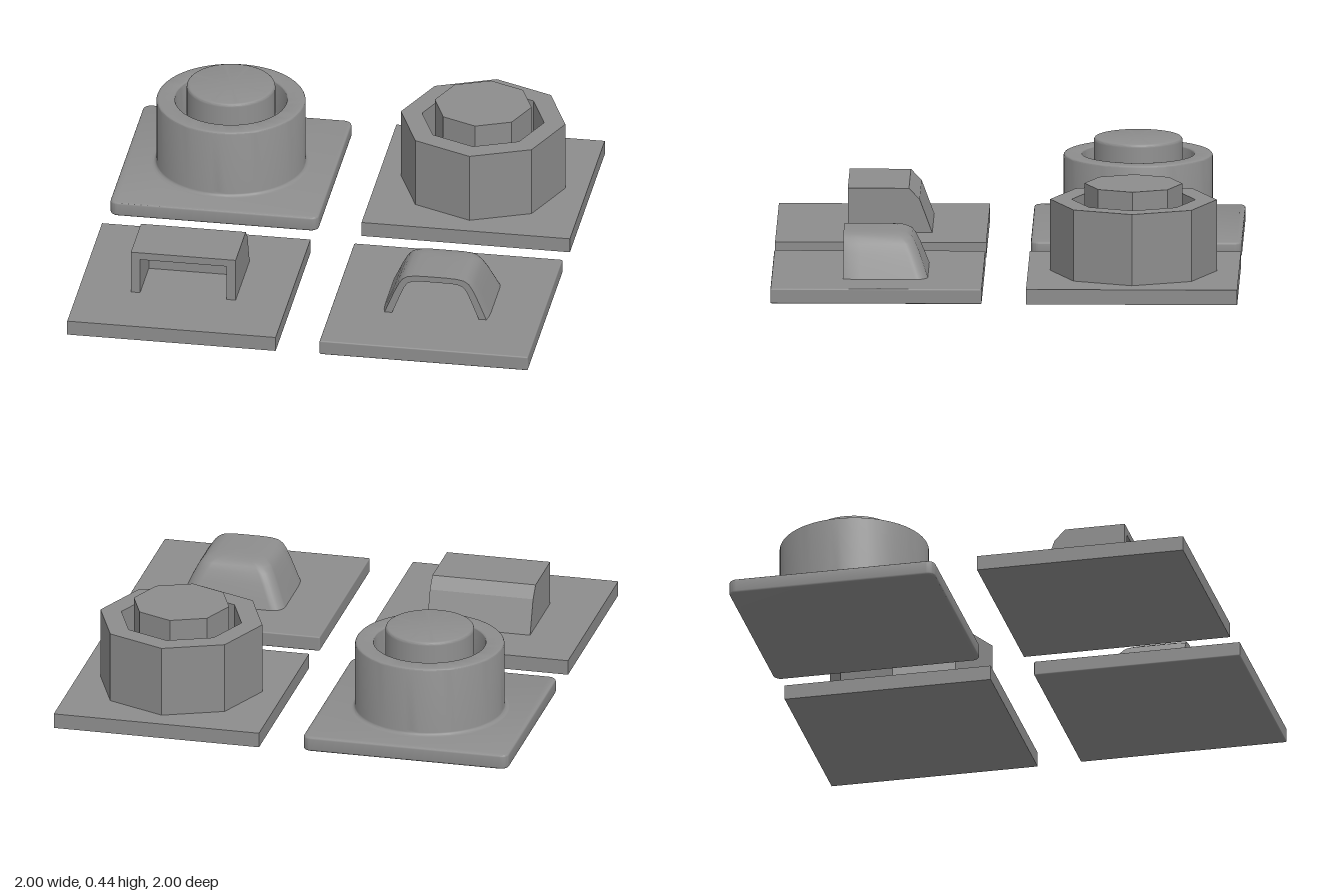
import * as THREE from 'three';
import { toCreasedNormals } from 'three/addons/utils/BufferGeometryUtils.js';
import { RoundedBoxGeometry } from 'three/addons/geometries/RoundedBoxGeometry.js';

const SIZE = 0.905, BASE = 0.065, C = 0.5475, FRONT = 0.145, LIP = 0.96, GREY = 0x8d8d8d;
const smooth = new THREE.MeshStandardMaterial({ color: GREY });
const flat = new THREE.MeshStandardMaterial({ color: GREY, flatShading: true });
const thin = new THREE.MeshStandardMaterial({ color: GREY, side: THREE.DoubleSide });

function add(parent, name, geometry, material, x = 0, y = 0, z = 0) {
  const mesh = new THREE.Mesh(geometry, material);
  mesh.name = name;
  mesh.position.set(x, y, z);
  parent.add(mesh);
}

function tile(root, name, x, z) {
  const g = new THREE.Group();
  g.name = name;
  g.position.set(x, 0, z);
  root.add(g);
  return g;
}

// Polyline with every inner corner rounded by its own radius: [x, y, r]
function roundedPath(pts) {
  const out = [new THREE.Vector2(pts[0][0], pts[0][1])];
  for (let i = 1; i < pts.length - 1; i++) {
    const p = new THREE.Vector2(pts[i][0], pts[i][1]);
    const toward = (q) => new THREE.Vector2(q[0], q[1]).sub(p).setLength(pts[i][2]).add(p);
    const curve = new THREE.QuadraticBezierCurve(toward(pts[i - 1]), p, toward(pts[i + 1]));
    out.push(...curve.getPoints(5));
  }
  const last = pts[pts.length - 1];
  out.push(new THREE.Vector2(last[0], last[1]));
  return out;
}

// Square slab with rounded corners and softly bevelled edges
function softSlab() {
  const bevel = 0.01, r = 0.025, k = SIZE / 2 - bevel - r;
  const shape = new THREE.Shape();
  for (let i = 0; i < 4; i++) {
    const a = (i * Math.PI) / 2, mid = a + Math.PI / 4;
    shape.absarc(k * Math.SQRT2 * Math.cos(mid), k * Math.SQRT2 * Math.sin(mid), r, a, a + Math.PI / 2);
  }
  shape.closePath();
  const g = new THREE.ExtrudeGeometry(shape, {
    depth: BASE - 2 * bevel, bevelSize: bevel, bevelThickness: bevel, bevelSegments: 4, curveSegments: 6,
  });
  g.rotateX(-Math.PI / 2).translate(0, bevel + 0.003, 0);
  return toCreasedNormals(g, 0.6);
}

// Smooth hood shell: U-shaped rows stacked upward, open at the front
function hoodShell(profile, inward) {
  const pos = [], idx = [], r = 0.055;
  let n = 0;
  for (const [w, y, b] of profile) {
    const k = Math.min(r, w);
    const row = [[w * LIP, FRONT], [w * 0.985, FRONT - 0.025], [w, FRONT - 0.07], [w, b + k]];
    for (let a = 1; a <= 6; a++) {
      const t = (a / 6) * Math.PI / 2;
      row.push([w - k + k * Math.cos(t), b + k - k * Math.sin(t)]);
    }
    const mirrored = row.slice().reverse().map(([x, z]) => [-x, z]);
    const all = row.concat(mirrored);
    n = all.length;
    for (const [x, z] of all) pos.push(x, y, z);
  }
  for (let i = 0; i < profile.length - 1; i++) {
    for (let j = 0; j < n - 1; j++) {
      const a = i * n + j, b = a + 1, c = a + n, d = c + 1;
      if (inward) idx.push(a, c, b, b, c, d);
      else idx.push(a, b, c, b, d, c);
    }
  }
  const g = new THREE.BufferGeometry();
  g.setAttribute('position', new THREE.Float32BufferAttribute(pos, 3));
  g.setIndex(idx);
  g.computeVertexNormals();
  return g;
}

export function createModel() {
  const root = new THREE.Group();
  root.name = 'ventAndHoodTiles';

  // Smooth round vent
  const round = tile(root, 'roundVentTile', -C, -C);
  add(round, 'roundedBase', softSlab(), smooth);
  const vent = roundedPath([
    [0.34, BASE + 0.003, 0], [0.32, BASE + 0.004, 0.019], [0.32, 0.375, 0.014], [0.24, 0.375, 0.01],
    [0.24, 0.22, 0.01], [0.19, 0.22, 0.01], [0.19, 0.445, 0.016], [0, 0.445, 0],
  ]);
  add(round, 'roundVent', toCreasedNormals(new THREE.LatheGeometry(vent, 64), 0.5), smooth);

  // Faceted octagonal vent
  const octagon = tile(root, 'octagonVentTile', C, -C);
  add(octagon, 'squareBase', new THREE.BoxGeometry(SIZE, BASE, SIZE), flat, 0, BASE / 2, 0);
  const steps = [
    [0.357, BASE], [0.357, 0.375], [0.265, 0.375], [0.265, 0.22],
    [0.21, 0.22], [0.21, 0.445], [0, 0.445],
  ].map(([x, y]) => new THREE.Vector2(x, y));
  add(octagon, 'octagonVent', new THREE.LatheGeometry(steps, 8), flat);

  // Faceted hood: solid sloping back, two cheeks and a roof
  const box = tile(root, 'boxHoodTile', -C, C);
  add(box, 'squareBase', new THREE.BoxGeometry(SIZE, BASE, SIZE), flat, 0, BASE / 2, 0);
  const hood = new THREE.Group();
  hood.name = 'boxHood';
  box.add(hood);
  const W = 0.455, TOP = 0.258, WALL = 0.04, BACK = -0.08;
  const side = new THREE.Shape([
    [-BACK, BASE], [0.217, BASE], [0.163, 0.21], [0.117, TOP], [-BACK, TOP],
  ].map(([x, y]) => new THREE.Vector2(x, y)));
  const backGeo = new THREE.ExtrudeGeometry(side, { depth: W, bevelEnabled: false });
  backGeo.translate(0, 0, -W / 2).rotateY(Math.PI / 2);
  add(hood, 'hoodBack', backGeo, flat);
  const depth = FRONT - BACK, midZ = (FRONT + BACK) / 2;
  for (const s of [-1, 1]) {
    add(hood, s > 0 ? 'leftCheek' : 'rightCheek', new THREE.BoxGeometry(WALL, TOP - BASE, depth), flat,
      s * (W - WALL) / 2, (TOP + BASE) / 2, midZ);
  }
  add(hood, 'hoodRoof', new THREE.BoxGeometry(W - 2 * WALL, 0.033, depth), flat, 0, TOP - 0.0165, midZ);

  // Smooth hood: outer shell, inner shell and front rim
  const arch = tile(root, 'roundedHoodTile', C, C);
  add(arch, 'squareBase', new RoundedBoxGeometry(SIZE, BASE, SIZE, 2, 0.006), smooth, 0, BASE / 2, 0);
  const outer = [
    [0.23, BASE, -0.217], [0.213, 0.105, -0.203], [0.187, 0.165, -0.181], [0.166, 0.207, -0.162],
    [0.15, 0.23, -0.147], [0.128, 0.244, -0.125], [0.097, 0.25, -0.09], [0.05, 0.252, -0.045], [0, 0.252, 0],
  ];
  const inner = [
    [0.196, BASE, -0.185], [0.181, 0.1, -0.172], [0.158, 0.155, -0.153], [0.14, 0.195, -0.137],
    [0.125, 0.213, -0.122], [0.104, 0.222, -0.1], [0.073, 0.226, -0.07], [0, 0.226, 0],
  ];
  add(arch, 'hoodOuterShell', hoodShell(outer, false), smooth);
  add(arch, 'hoodInnerShell', hoodShell(inner, true), smooth);
  const outline = (p) => p.map(([x, y]) => [x, y]).concat(p.slice(0, -1).reverse().map(([x, y]) => [-x, y]));
  const rim = outline(outer).concat(outline(inner).reverse()).map(([x, y]) => new THREE.Vector2(x * LIP, y));
  add(arch, 'hoodRim', new THREE.ShapeGeometry(new THREE.Shape(rim)), thin, 0, 0, FRONT);

  return root;
}
